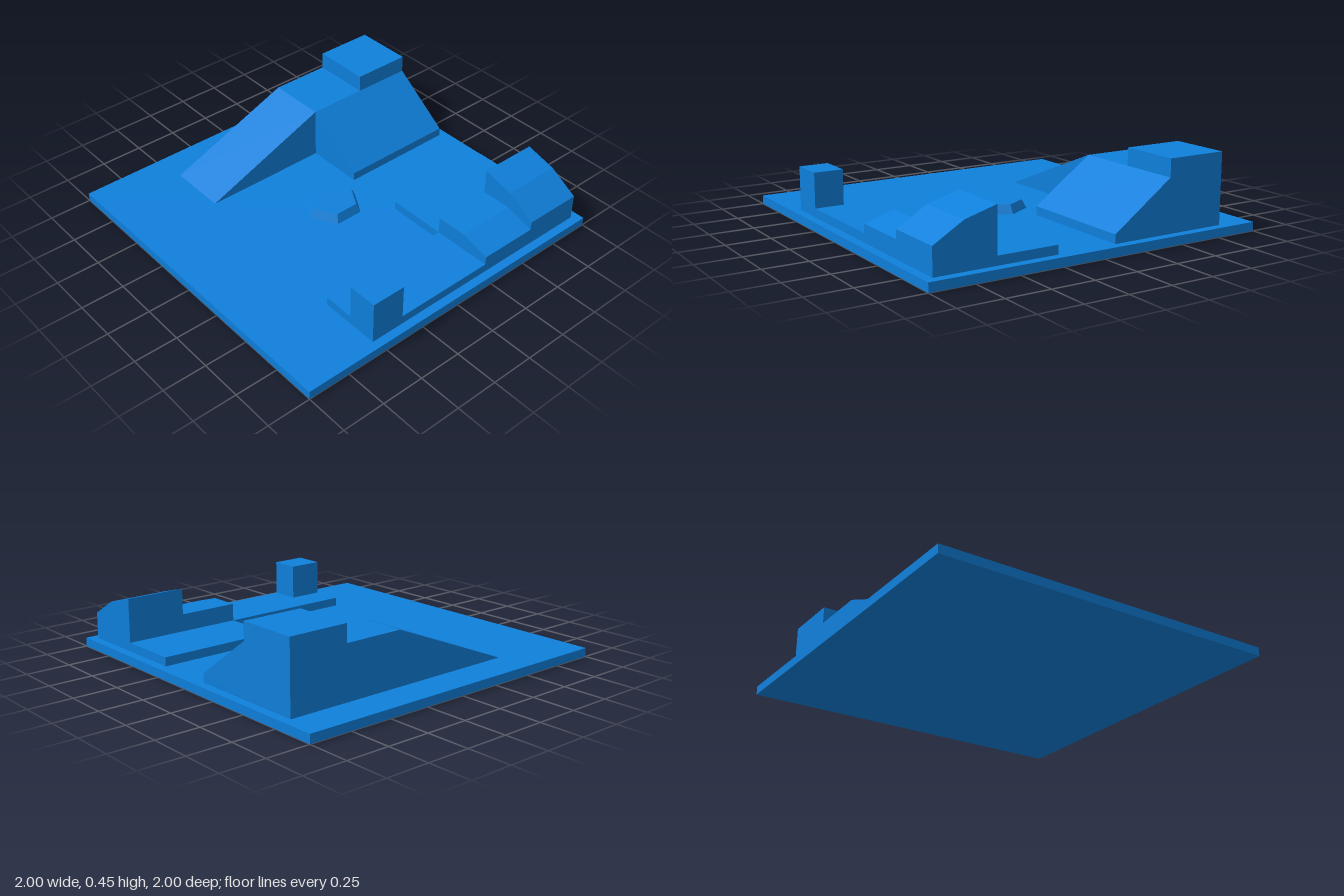
import * as THREE from 'three';

const material = new THREE.MeshStandardMaterial({ color: 0x0f80dc, flatShading: true });
const GROUND = 0.05;

export function createModel() {
  const model = new THREE.Group();

  const add = (name, geometry) => {
    const mesh = new THREE.Mesh(geometry, material);
    mesh.name = name;
    model.add(mesh);
    return mesh;
  };

  // Box given by its limits on each axis
  const block = (name, [x0, x1], [y0, y1], [z0, z1]) =>
    add(name, new THREE.BoxGeometry(x1 - x0, y1 - y0, z1 - z0))
      .position.set((x0 + x1) / 2, (y0 + y1) / 2, (z0 + z1) / 2);

  const extrude = (points, depth) => new THREE.ExtrudeGeometry(
    new THREE.Shape(points.map(([u, v]) => new THREE.Vector2(u, v))),
    { depth, bevelEnabled: false });

  // Profile in x and y, swept from z0 to z1
  const sweepZ = (name, points, [z0, z1]) =>
    add(name, extrude(points, z1 - z0).translate(0, 0, z0));

  // Profile in z and y, swept from x0 to x1
  const sweepX = (name, points, [x0, x1]) =>
    add(name, extrude(points, x1 - x0).rotateY(-Math.PI / 2).translate(x1, 0, 0));

  const back = [-0.95, -0.6], middle = [-0.6, -0.25], rear = [-0.95, -0.25];

  // Ground plate
  block('basePlate', [-1, 1], [0, GROUND], [-1, 1]);

  // Raised platform running down into the front ramp
  sweepX('platformWithFrontRamp',
    [[-0.95, GROUND], [0.5, GROUND], [-0.25, 0.35], [-0.95, 0.35]], [-0.8, -0.45]);
  block('upperPlatform', [-0.8, -0.45], [0.35, 0.45], back);

  // Side ramp ending in a low lip
  sweepZ('sideRamp',
    [[-0.45, GROUND], [-0.1, GROUND], [-0.1, 0.1], [-0.45, 0.35]], rear);

  // Six-sided pad in the middle, one corner towards the front
  add('centrePad', new THREE.CylinderGeometry(0.14, 0.167, 0.05, 6)).position.y = 0.075;

  // L-shaped low step
  sweepZ('rearStep', [[0.25, GROUND], [0.95, GROUND], [0.95, 0.1], [0.25, 0.1]], rear);
  block('longStep', [0.6, 0.95], [GROUND, 0.1], [-0.25, 0.55]);

  // Sloped ledges on the step, and the corner post
  sweepZ('tallLedge',
    [[0.6, 0.1], [0.95, 0.1], [0.95, 0.2], [0.78, 0.3], [0.6, 0.35]], back);
  sweepZ('lowLedge',
    [[0.6, 0.1], [0.95, 0.1], [0.95, 0.15], [0.78, 0.2], [0.6, 0.2]], middle);
  block('cornerPost', [0.78, 0.95], [0.1, 0.3], [0.35, 0.55]);

  return model;
}
